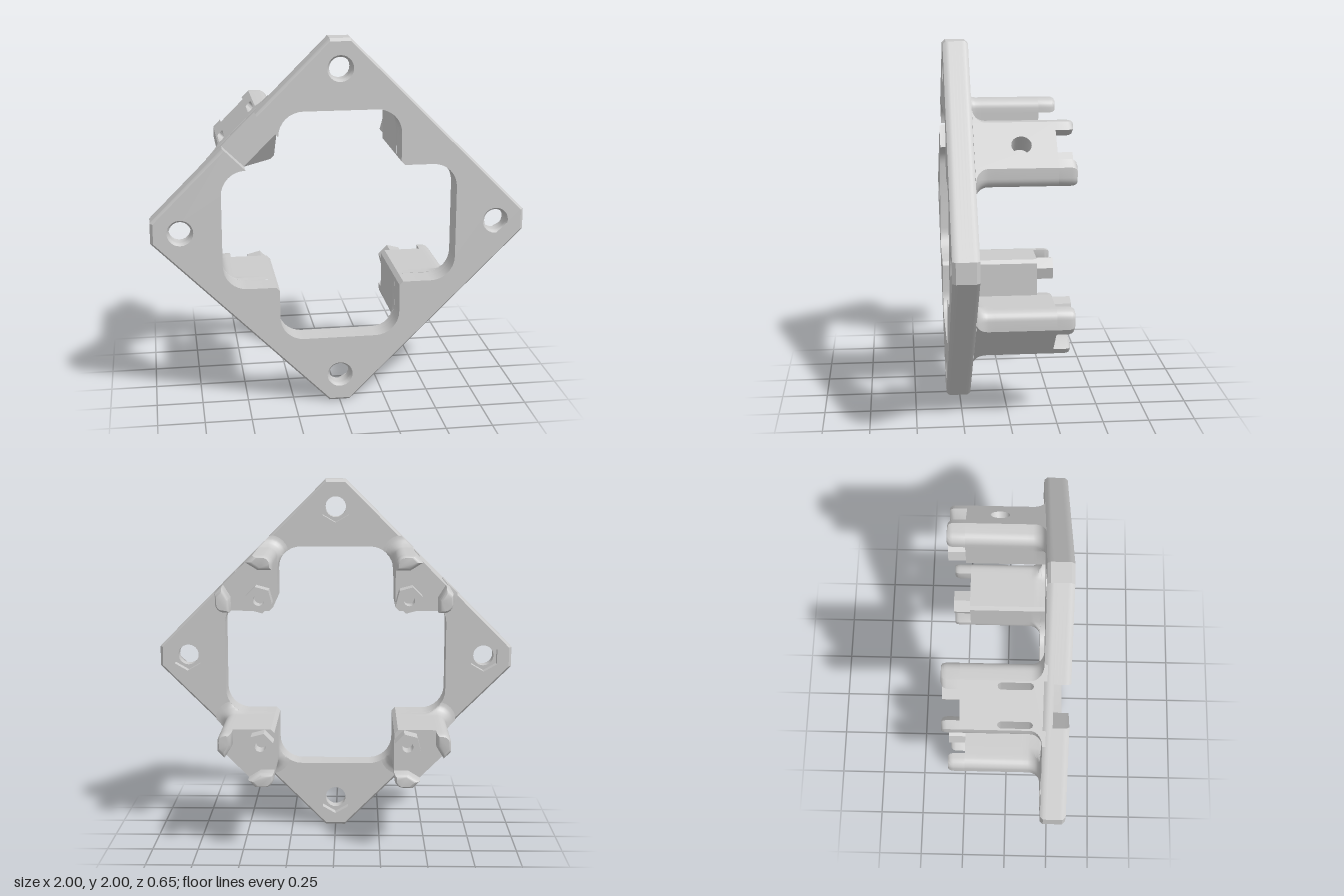
import * as THREE from 'three';
import { toCreasedNormals } from 'three/addons/utils/BufferGeometryUtils.js';

const V = (x, y) => new THREE.Vector2(x, y);
const IN = 0.325, OUT = 0.627, SUM = 1.055;      // opening arms and diamond edge (|x|+|y|)
const BACK = 0.19, MID = 0.24, FRONT = 0.325;    // plate levels
const SEAT = -0.23, TIP = -0.325;                // leg end levels
const material = new THREE.MeshStandardMaterial({ color: 0xcccccc });

function mesh(name, geometry, crease = 0.6) {
  const m = new THREE.Mesh(toCreasedNormals(geometry, crease), material);
  m.name = name;
  return m;
}

function arc(cx, cy, r, a0, a1, n) {
  return Array.from({ length: n + 1 }, (_, i) => {
    const a = THREE.MathUtils.degToRad(a0 + (a1 - a0) * i / n);
    return V(cx + r * Math.cos(a), cy + r * Math.sin(a));
  });
}

const swapped = pts => pts.map(p => V(p.y, p.x)).reverse();
const path = pts => new THREE.Path(pts);

// Skin counter-clockwise rings of rising z; one strip may be left open
function loft(rings, { skip = -1, capEnd = false } = {}) {
  const pos = [], put = (r, i) => pos.push(r.pts[i].x, r.pts[i].y, r.z);
  const n = rings[0].pts.length;
  for (let k = 0; k + 1 < rings.length; k++) {
    const a = rings[k], b = rings[k + 1];
    for (let i = 0; i < n; i++) {
      if (i === skip) continue;
      const j = (i + 1) % n;
      put(a, i); put(a, j); put(b, j);
      put(a, i); put(b, j); put(b, i);
    }
  }
  const cap = (r, flip) => {
    for (const [a, b, c] of THREE.ShapeUtils.triangulateShape(r.pts.slice(), [])) {
      put(r, a); put(r, flip ? c : b); put(r, flip ? b : c);
    }
  };
  cap(rings[0], true);
  if (capEnd) cap(rings[rings.length - 1], false);
  const g = new THREE.BufferGeometry();
  g.setAttribute('position', new THREE.Float32BufferAttribute(pos, 3));
  return g;
}

// Cross-shaped opening; cut[k] trims the inner corner of quadrant k
function opening(cut) {
  const pts = [];
  for (let k = 0; k < 4; k++) {
    const a = arc(0.497, 0.195, 0.13, 0, 90, 8);
    const c = cut[k] - IN;
    const quarter = [...a, V(c, IN), V(IN, c), ...swapped(a)];
    for (const p of quarter) pts.push(p.rotateAround(V(0, 0), k * Math.PI / 2));
  }
  return pts;
}

const screwSpots = [V(0.845, 0), V(0, 0.845), V(-0.845, 0), V(0, -0.845)];

// Pull the rim of one face in, and widen the screw holes there if asked
function softenRim(g, z, flare) {
  const p = g.attributes.position;
  for (let i = 0; i < p.count; i++) {
    if (Math.abs(p.getZ(i) - z) > 1e-4) continue;
    const q = V(p.getX(i), p.getY(i));
    if (Math.abs(q.x) + Math.abs(q.y) > 1.05) q.multiplyScalar(0.985);
    else for (const s of screwSpots) {
      if (q.distanceTo(s) < 0.08) q.sub(s).multiplyScalar(flare).add(s);
    }
    p.setXY(i, q.x, q.y);
  }
  return g;
}

function buildPlate() {
  const plate = new THREE.Group();
  plate.name = 'plate';
  const e = 0.055;
  const outer = [V(-1, e), V(-1, -e), V(-e, -1), V(e, -1), V(1, -e), V(1, e), V(e, 1), V(-e, 1)];

  // Rear layer with hexagonal nut pockets
  const rear = new THREE.Shape(outer);
  rear.holes.push(path(opening([0.67, 0.825, 0.67, 0.67])));
  for (const s of screwSpots) rear.holes.push(path(arc(s.x, s.y, 0.085, 30, 330, 5)));
  const rg = new THREE.ExtrudeGeometry(rear, { depth: MID - BACK, steps: 3, bevelEnabled: false });
  plate.add(mesh('rearPlate', softenRim(rg.translate(0, 0, BACK), BACK, 1)));

  // Front layer, split by the diagonal cable groove
  const ring = opening([0.67, 0.67, 0.67, 0.67]);
  const first = ring.length / 4 + 9;               // inner corner of the second quadrant
  const around = [...ring.slice(first + 2), ...ring.slice(0, first)].reverse();
  const front = new THREE.Shape([V(-0.615, 0.44), ...outer, V(-0.44, 0.615), ...around]);
  for (const s of screwSpots) front.holes.push(path(arc(s.x, s.y, 0.058, 0, 345, 23)));
  const fg = new THREE.ExtrudeGeometry(front, { depth: FRONT - MID, steps: 5, bevelEnabled: false });
  plate.add(mesh('frontPlate', softenRim(fg.translate(0, 0, MID), FRONT, 1.2)));
  return plate;
}

// Leg section: c trims the inner corner, d spreads the sides for the root fillet
function legSection(c, d) {
  const keep = p => {
    const h = V(0.497, 0.195), away = p.clone().sub(h);
    if (away.length() < 0.13) p.copy(away.setLength(0.13).add(h));
    const over = p.x + p.y - SUM;
    if (over > 0) p.subScalar(over / 2);
    return p;
  };
  const half = [V(c - IN, IN),
    ...[0.51, 0.53, 0.55].map(x => keep(V(x, IN - d))),
    ...arc(0.577, 0.375, 0.05 + d, -90, 0, 6).map(keep),
    V(OUT + d, SUM - OUT - d), V(OUT, SUM - OUT)];
  return { pts: [...half, ...swapped(half)], skip: half.length - 1 };
}

// Outer slanted face of a leg, with blind openings
function buildPanel(holes) {
  const w = (2 * OUT - SUM) / Math.SQRT2, depth = 0.13;
  const shape = new THREE.Shape([V(-w, SEAT), V(w, SEAT), V(w, BACK), V(-w, BACK)]);
  shape.holes.push(...holes.map(path));
  const panel = new THREE.Group();
  panel.name = 'outerFace';
  panel.add(mesh('panel', new THREE.ExtrudeGeometry(shape, { depth, bevelEnabled: false })));
  if (holes.length) {
    const floor = mesh('pocketFloor', new THREE.PlaneGeometry(2 * w, BACK - SEAT));
    floor.position.set(0, (BACK + SEAT) / 2, 0.01);
    panel.add(floor);
  }
  const n = new THREE.Vector3(1, 1, 0).normalize();
  const basis = new THREE.Matrix4().makeBasis(
    new THREE.Vector3(-1, 1, 0).normalize(), new THREE.Vector3(0, 0, 1), n);
  panel.quaternion.setFromRotationMatrix(basis);
  panel.position.set(SUM / 2, SUM / 2, 0).addScaledVector(n, -depth);
  return panel;
}

function buildLeg(name, holes, ramp) {
  const leg = new THREE.Group();
  leg.name = name;

  // Shaft with a flared root, and a cable ramp on one leg
  const r = 0.065, start = BACK - r;
  const levels = [SEAT, 0.09, ...[0, 0.2, 0.4, 0.6, 0.75, 0.88, 0.96, 1].map(t => start + r * t)];
  if (ramp) levels.push(MID);
  const rings = levels.map(z => {
    const t = Math.min(Math.max(z - start, 0), r);
    const c = ramp ? 0.67 + 0.155 * Math.max(0, z - 0.09) / 0.15 : 0.67;
    return { z, ...legSection(c, r - Math.sqrt(r * r - t * t)) };
  });
  leg.add(mesh('shaft', loft(rings, { skip: rings[0].skip })), buildPanel(holes));

  // Two prongs with rounded tips
  const prong = [V(0.55, IN), ...arc(0.577, 0.375, 0.05, -90, 0, 6),
    V(OUT, SUM - OUT), V(0.59, 0.465), V(0.55, 0.4)];
  for (const pts of [prong, swapped(prong)]) {
    const mid = pts.reduce((s, p) => s.add(p), V(0, 0)).divideScalar(pts.length);
    const tip = [[TIP, 0.66], [TIP + 0.005, 0.83], [TIP + 0.015, 0.94], [TIP + 0.03, 1], [SEAT, 1]];
    const tipRings = tip.map(([z, s]) => ({ z, pts: pts.map(p => mid.clone().lerp(p, s)) }));
    leg.add(mesh('prong', loft(tipRings, { capEnd: true })));
  }

  // Hexagonal screw boss on the inner corner
  const hex = new THREE.Shape(arc(0.395, 0.395, 0.072, 15, 315, 5));
  hex.holes.push(path(arc(0.395, 0.395, 0.03, 0, 340, 17)));
  const boss = new THREE.ExtrudeGeometry(hex, { depth: SEAT - TIP, bevelEnabled: false });
  leg.add(mesh('screwBoss', boss.translate(0, 0, TIP)));
  return leg;
}

export function createModel() {
  const model = new THREE.Group();
  model.name = 'mountingBracket';
  const slot = u => [...arc(u, 0.12, 0.02, 0, 180, 6), ...arc(u, -0.02, 0.02, 180, 360, 6)];
  const legs = [
    buildLeg('upperLeftLeg', [arc(0, -0.05, 0.052, 0, 345, 23)], false),
    buildLeg('upperRightLeg', [slot(-0.11), slot(0.11)], true),
    buildLeg('lowerRightLeg', [], false),
    buildLeg('lowerLeftLeg', [], false),
  ];
  legs.forEach((leg, k) => { leg.rotation.z = k * Math.PI / 2; });
  const body = new THREE.Group();
  body.name = 'body';
  body.add(buildPlate(), ...legs);
  body.position.y = 1;
  model.add(body);
  return model;
}
